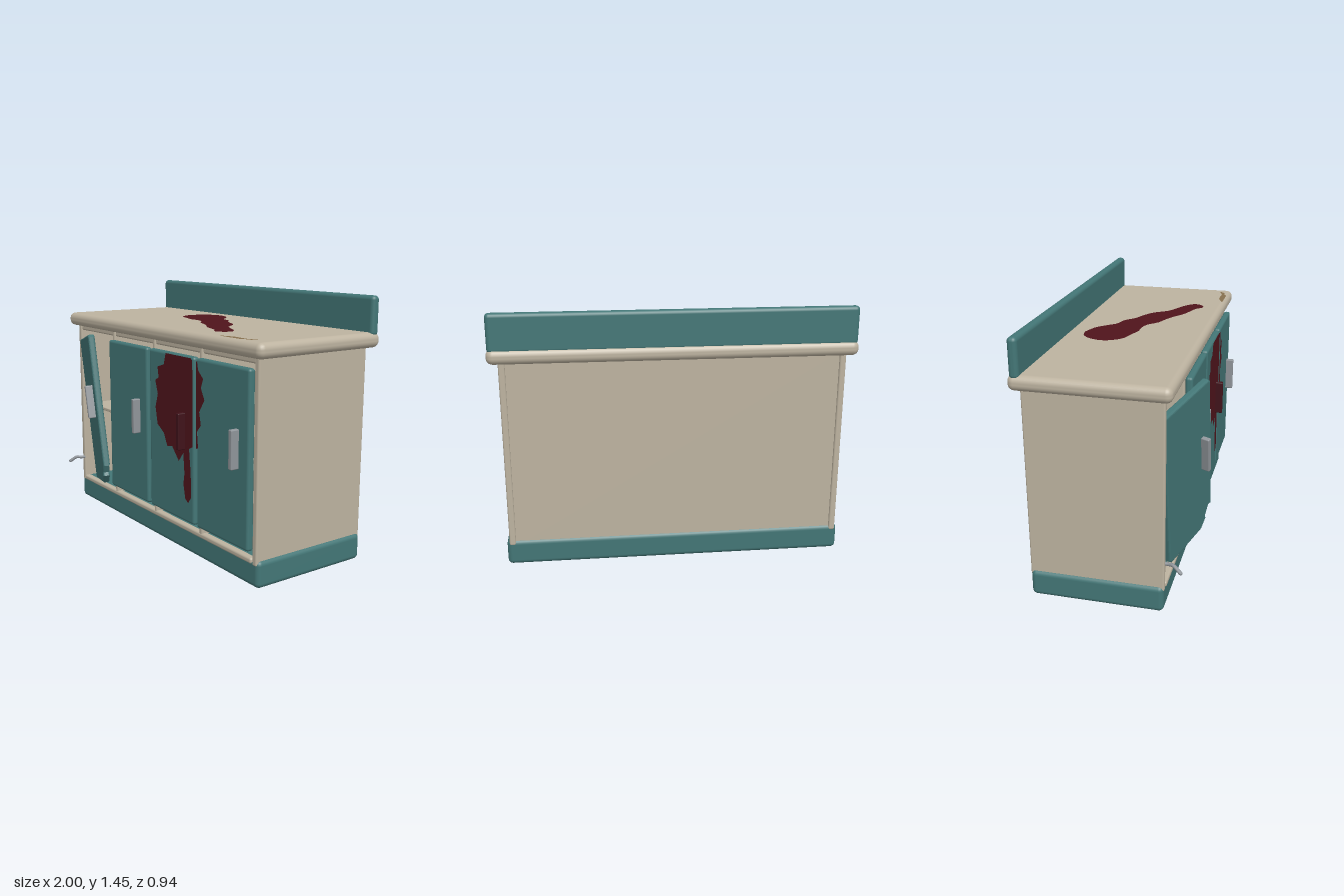
import * as THREE from 'three';
import { RoundedBoxGeometry } from 'three/addons/geometries/RoundedBoxGeometry.js';

const mat = (color, side = THREE.FrontSide) => new THREE.MeshStandardMaterial({ color, side });
const TEAL = mat(0x437676);
const CREAM = mat(0xbdb3a0);
const DARK = mat(0x2a3438);
const METAL = mat(0x90959a);
const BLOOD = mat(0x50141c, THREE.DoubleSide);
const BLOODY_METAL = mat(0x40121a);
const RAW_WOOD = mat(0x86704f, THREE.DoubleSide);

const DOOR_W = 0.445, DOOR_H = 0.93, DOOR_T = 0.042;

function add(parent, name, geometry, material) {
  const mesh = new THREE.Mesh(geometry, material);
  mesh.name = name;
  parent.add(mesh);
  return mesh;
}

// Rounded box given by its min and max corners
function box(parent, name, material, [x0, y0, z0], [x1, y1, z1], radius = 0.008) {
  const geometry = new RoundedBoxGeometry(x1 - x0, y1 - y0, z1 - z0, 3, radius);
  const mesh = add(parent, name, geometry, material);
  mesh.position.set((x0 + x1) / 2, (y0 + y1) / 2, (z0 + z1) / 2);
  return mesh;
}

const toPoints = (pairs) => pairs.map(([x, y]) => new THREE.Vector2(x, y));

function addHandle(parent, material) {
  box(parent, 'handle', material, [0.117, -0.05, DOOR_T / 2 - 0.005], [0.145, 0.155, DOOR_T / 2 + 0.046], 0.006);
}

function makeDoor(name, x, handleMaterial = METAL) {
  const door = new THREE.Group();
  door.name = name;
  box(door, 'doorPanel', TEAL, [-DOOR_W / 2, -DOOR_H / 2, -DOOR_T / 2], [DOOR_W / 2, DOOR_H / 2, DOOR_T / 2], 0.016);
  addHandle(door, handleMaterial);
  door.position.set(x, 0.667, 0.318);
  return door;
}

// Hanging door with its lower corner snapped off
function makeBrokenDoor() {
  const door = new THREE.Group();
  door.name = 'brokenDoor';
  const b = 0.011, w = DOOR_W / 2 - b, h = DOOR_H / 2 - b;
  const shape = new THREE.Shape(toPoints([
    [-w, -h + 0.01], [-w + 0.01, -h], [0.105, -h], [0.15, -0.415], [0.145, -0.395],
    [0.185, -0.335], [w, -0.34], [w, h - 0.01], [w - 0.01, h], [-w + 0.01, h], [-w, h - 0.01],
  ]));
  const geometry = new THREE.ExtrudeGeometry(shape, {
    depth: DOOR_T - 2 * b, bevelThickness: b, bevelSize: b, bevelSegments: 3,
  });
  geometry.translate(0, 0, -DOOR_T / 2 + b);
  add(door, 'doorPanel', geometry, TEAL);
  addHandle(door, METAL);
  door.rotation.order = 'ZYX';
  door.rotation.set(0, -0.35, 0.2);
  door.position.set(-0.638, 0.668, 0.348);
  return door;
}

export function createModel() {
  const model = new THREE.Group();
  model.name = 'kitchenCabinet';

  // Plinth, worktop and backsplash
  box(model, 'plinth', TEAL, [-0.957, 0, -0.43], [0.957, 0.15, 0.295], 0.028);
  box(model, 'worktop', CREAM, [-1, 1.18, -0.48], [1, 1.262, 0.34], 0.036);
  box(model, 'backsplash', TEAL, [-0.993, 1.24, -0.467], [0.993, 1.452, -0.415], 0.022);

  // Side walls
  for (const s of [-1, 1]) {
    box(model, s < 0 ? 'rightWall' : 'leftWall', CREAM,
      [s * 0.925 - 0.018, 0.12, -0.432], [s * 0.925 + 0.018, 1.2, 0.297], 0.01);
  }

  // Back panel with a dark lining inside
  box(model, 'backPanel', CREAM, [-0.915, 0.1, -0.42], [0.915, 1.2, -0.395], 0.004);
  box(model, 'backLining', DARK, [-0.908, 0.14, -0.4], [0.908, 1.19, -0.388], 0.003);

  // Front rails, dividers and shelf
  box(model, 'bottomRail', CREAM, [-0.905, 0.124, 0.26], [0.905, 0.156, 0.302], 0.012);
  box(model, 'topRail', CREAM, [-0.91, 1.15, 0.25], [0.91, 1.2, 0.29], 0.01);
  for (const x of [-0.47, -0.003, 0.463]) {
    box(model, 'divider', CREAM, [x - 0.015, 0.14, -0.39], [x + 0.015, 1.19, 0.3], 0.012);
  }
  box(model, 'shelf', CREAM, [-0.91, 0.63, -0.39], [0.91, 0.652, 0.24], 0.006);

  // Doors
  const stainedDoor = makeDoor('stainedDoor', 0.232, BLOODY_METAL);
  const endDoor = makeDoor('endDoor', 0.7);
  model.add(makeBrokenDoor(), makeDoor('innerDoor', -0.24), stainedDoor, endDoor);

  // Bent hinge left on the wall
  const hingePath = new THREE.CatmullRomCurve3([
    new THREE.Vector3(-0.918, 0.278, 0.285), new THREE.Vector3(-0.922, 0.28, 0.32),
    new THREE.Vector3(-0.935, 0.282, 0.345), new THREE.Vector3(-0.955, 0.256, 0.385),
  ]);
  add(model, 'bentHinge', new THREE.TubeGeometry(hingePath, 12, 0.01, 8), METAL);
  const tip = add(model, 'hingeTip', new THREE.SphereGeometry(0.01, 8, 6), METAL);
  tip.position.set(-0.955, 0.256, 0.385);

  // Splatter and drip across two doors
  const splatters = [
    [[0.19, 1.125], [0.17, 1.06], [0.105, 1.04], [0.115, 0.98], [0.08, 0.96], [0.105, 0.885],
      [0.08, 0.805], [0.1, 0.71], [0.165, 0.67], [0.2, 0.6], [0.25, 0.61], [0.315, 0.54],
      [0.36, 0.595], [0.37, 0.48], [0.36, 0.42], [0.377, 0.34], [0.405, 0.32], [0.435, 0.36],
      [0.43, 0.5], [0.415, 0.63], [0.447, 0.645], [0.447, 1.115], [0.43, 1.125]],
    [[0.482, 0.645], [0.5, 0.65], [0.49, 0.74], [0.525, 0.78], [0.51, 0.85], [0.557, 0.92],
      [0.525, 0.98], [0.545, 1.03], [0.5, 1.07], [0.49, 1.12], [0.482, 1.11]],
  ];
  for (const outline of splatters) {
    const splat = add(model, 'doorSplatter', new THREE.ShapeGeometry(new THREE.Shape(toPoints(outline))), BLOOD);
    splat.position.z = 0.342;
  }

  // Smear on the worktop, outline in x and z
  const smear = new THREE.Shape(new THREE.SplineCurve(toPoints([
    [-0.2, 0.33], [-0.11, 0.3], [-0.05, 0.25], [0, 0.2], [0.08, 0.175], [0.14, 0.125], [0.22, 0.09],
    [0.29, 0.045], [0.35, -0.03], [0.43, -0.075], [0.5, -0.11], [0.55, -0.16], [0.53, -0.21],
    [0.48, -0.225], [0.43, -0.185], [0.37, -0.165], [0.3, -0.14], [0.22, -0.09], [0.16, -0.06],
    [0.08, -0.03], [0.02, 0.02], [-0.05, 0.04], [-0.12, 0.04], [-0.2, 0.065], [-0.28, 0.09],
    [-0.33, 0.15], [-0.34, 0.21], [-0.31, 0.28], [-0.26, 0.32], [-0.2, 0.33],
  ])).getPoints(90));
  const chip = new THREE.Shape(toPoints([
    [0.64, -0.322], [0.7, -0.297], [0.74, -0.287], [0.84, -0.29], [0.92, -0.265],
    [0.89, -0.3], [0.84, -0.308], [0.82, -0.322],
  ]));
  for (const [name, shape, material] of [['worktopSmear', smear, BLOOD], ['worktopChip', chip, RAW_WOOD]]) {
    const patch = add(model, name, new THREE.ShapeGeometry(shape), material);
    patch.rotation.x = -Math.PI / 2;
    patch.position.y = 1.265;
  }
  return model;
}
